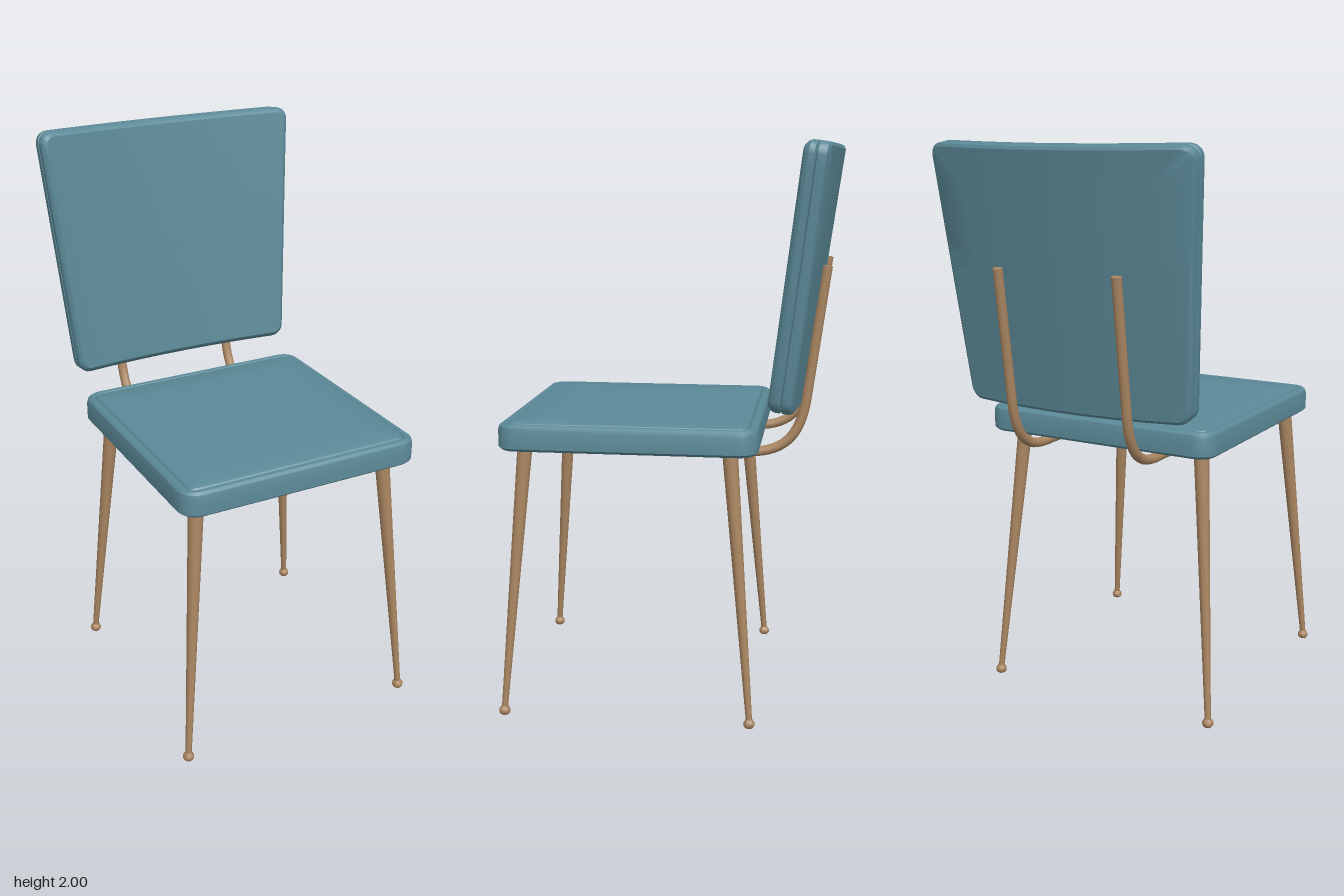
import * as THREE from 'three';
import { toCreasedNormals } from 'three/addons/utils/BufferGeometryUtils.js';

const upholstery = new THREE.MeshStandardMaterial({ name: 'teal upholstery', color: 0x5b8997 });
const metal = new THREE.MeshStandardMaterial({ name: 'bronze metal', color: 0xab8762 });

// Rounded rectangle, counter-clockwise, with subdivided edges; taper widens it towards +v
function outline(hw, hh, radius, taper, inset) {
  const w = hw - inset, h = hh - inset, r = Math.max(radius - inset, 0.012);
  const arcs = [[1, -1], [1, 1], [-1, 1], [-1, -1]].map(([sx, sy], c) => {
    const pts = [];
    for (let i = 0; i <= 5; i++) {
      const a = (c - 1 + i / 5) * Math.PI / 2;
      pts.push(new THREE.Vector2(sx * (w - r) + r * Math.cos(a), sy * (h - r) + r * Math.sin(a)));
    }
    return pts;
  });
  const ring = [];
  arcs.forEach((arc, c) => {
    ring.push(...arc);
    const next = arcs[(c + 1) % 4][0];
    for (let i = 1; i < 14; i++) ring.push(arc[5].clone().lerp(next, i / 14));
  });
  ring.forEach((p) => { p.x *= 1 + taper * p.y / hh; });
  return ring;
}

// Pad lofted through [inset, depth] sections and closed by rings shrinking to the centre
function pad({ hw, hh, radius, taper = 0, sections, crown = 0, place }) {
  const rings = [];
  const add = (inset, depth, scale = 1) => rings.push(
    outline(hw, hh, radius, taper, inset).map((p) => place(p.x * scale, p.y * scale, depth)));
  const first = sections[0], last = sections[sections.length - 1];
  for (const s of [0, 0.25, 0.5, 0.75]) add(first[0], first[1], s);
  sections.forEach(([inset, depth]) => add(inset, depth));
  for (const s of [0.75, 0.5, 0.25, 0]) add(last[0], last[1] + crown * (1 - s * s), s);

  const n = rings[0].length, index = [];
  for (let i = 0; i < rings.length - 1; i++) {
    for (let j = 0; j < n; j++) {
      const k = (j + 1) % n, a = i * n + j, b = i * n + k, c = b + n, d = a + n;
      if (i > 0) index.push(a, b, c);
      if (i < rings.length - 2) index.push(a, c, d);
      else if (i === 0) index.push(a, c, d);
    }
  }
  const geometry = new THREE.BufferGeometry().setFromPoints(rings.flat());
  geometry.setIndex(index);
  return toCreasedNormals(geometry, 0.5);
}

function mesh(name, geometry, material, parent) {
  const m = new THREE.Mesh(geometry, material);
  m.name = name;
  parent.add(m);
  return m;
}

// Tapered, splayed leg with a small rounded foot
function makeLeg(name, top, foot) {
  const leg = new THREE.Group();
  leg.name = name;
  const axis = top.clone().sub(foot);
  const shaft = mesh('legShaft', new THREE.CylinderGeometry(0.027, 0.011, axis.length(), 10), metal, leg);
  shaft.position.copy(top).add(foot).multiplyScalar(0.5);
  shaft.quaternion.setFromUnitVectors(new THREE.Vector3(0, 1, 0), axis.normalize());
  const profile = [[0, 0], [0.014, 0], [0.02, 0.008], [0.02, 0.018], [0.012, 0.03], [0, 0.032]]
    .map(([x, y]) => new THREE.Vector2(x, y));
  mesh('footCap', toCreasedNormals(new THREE.LatheGeometry(profile, 10), 0.7), metal, leg)
    .position.set(foot.x, 0, foot.z);
  return leg;
}

// Bent rod running from under the seat up the rear of the backrest
function makeSupport(name, x) {
  const support = new THREE.Group();
  support.name = name;
  const p = (y, z) => new THREE.Vector3(x, y, z);
  const path = new THREE.CurvePath();
  path.add(new THREE.LineCurve3(p(0.941, -0.025), p(0.941, -0.27)));
  path.add(new THREE.CubicBezierCurve3(p(0.941, -0.27), p(0.941, -0.41), p(1.01, -0.455), p(1.13, -0.474)));
  path.add(new THREE.LineCurve3(p(1.13, -0.474), p(1.59, -0.536)));
  mesh('supportRod', new THREE.TubeGeometry(path, 48, 0.0175, 10), metal, support);
  for (const t of [0, 1]) {
    const cap = mesh('rodEnd', new THREE.CircleGeometry(0.0175, 10), metal, support);
    cap.position.copy(path.getPoint(t));
    const out = path.getTangent(t).multiplyScalar(t ? 1 : -1);
    cap.quaternion.setFromUnitVectors(new THREE.Vector3(0, 0, 1), out);
  }
  return support;
}

export function createModel() {
  const chair = new THREE.Group();
  chair.name = 'chair';

  // Seat cushion with a welted top edge
  mesh('seat', pad({
    hw: 0.45, hh: 0.448, radius: 0.065, crown: 0.006,
    sections: [[0.012, 0.965], [0, 0.975], [0, 1.035], [0.004, 1.048], [0.014, 1.056],
      [0.028, 1.056], [0.034, 1.051], [0.039, 1.057], [0.05, 1.061]],
    place: (u, v, d) => new THREE.Vector3(u, d, 0.127 - v),
  }), upholstery, chair);

  // Backrest: tapered pad, curved around the sitter and leaning back
  const lean = 0.137, cos = Math.cos(lean), sin = Math.sin(lean);
  mesh('backrest', pad({
    hw: 0.466, hh: 0.447, radius: 0.045, taper: 0.07,
    sections: [[0.012, -0.042], [0.002, -0.036], [0, -0.03], [0, -0.008], [0.007, -0.003],
      [0, 0.002], [0, 0.02], [0.006, 0.032], [0.018, 0.042]],
    place: (u, v, d) => {
      const depth = d + 0.21 * u * u;
      return new THREE.Vector3(u, 1.55 + v * cos + depth * sin, -0.486 - v * sin + depth * cos);
    },
  }), upholstery, chair);

  // Legs and backrest supports
  for (const side of [1, -1]) {
    const label = side > 0 ? 'Left' : 'Right';
    const topX = -0.01 + side * 0.363, footX = -0.009 + side * 0.443;
    chair.add(makeLeg('front' + label + 'Leg',
      new THREE.Vector3(topX, 0.97, 0.492), new THREE.Vector3(footX, 0.02, 0.57)));
    chair.add(makeLeg('back' + label + 'Leg',
      new THREE.Vector3(topX, 0.97, -0.222), new THREE.Vector3(footX, 0.02, -0.304)));
    chair.add(makeSupport('backrestSupport' + label, side * 0.228 + 0.003));
  }
  return chair;
}
